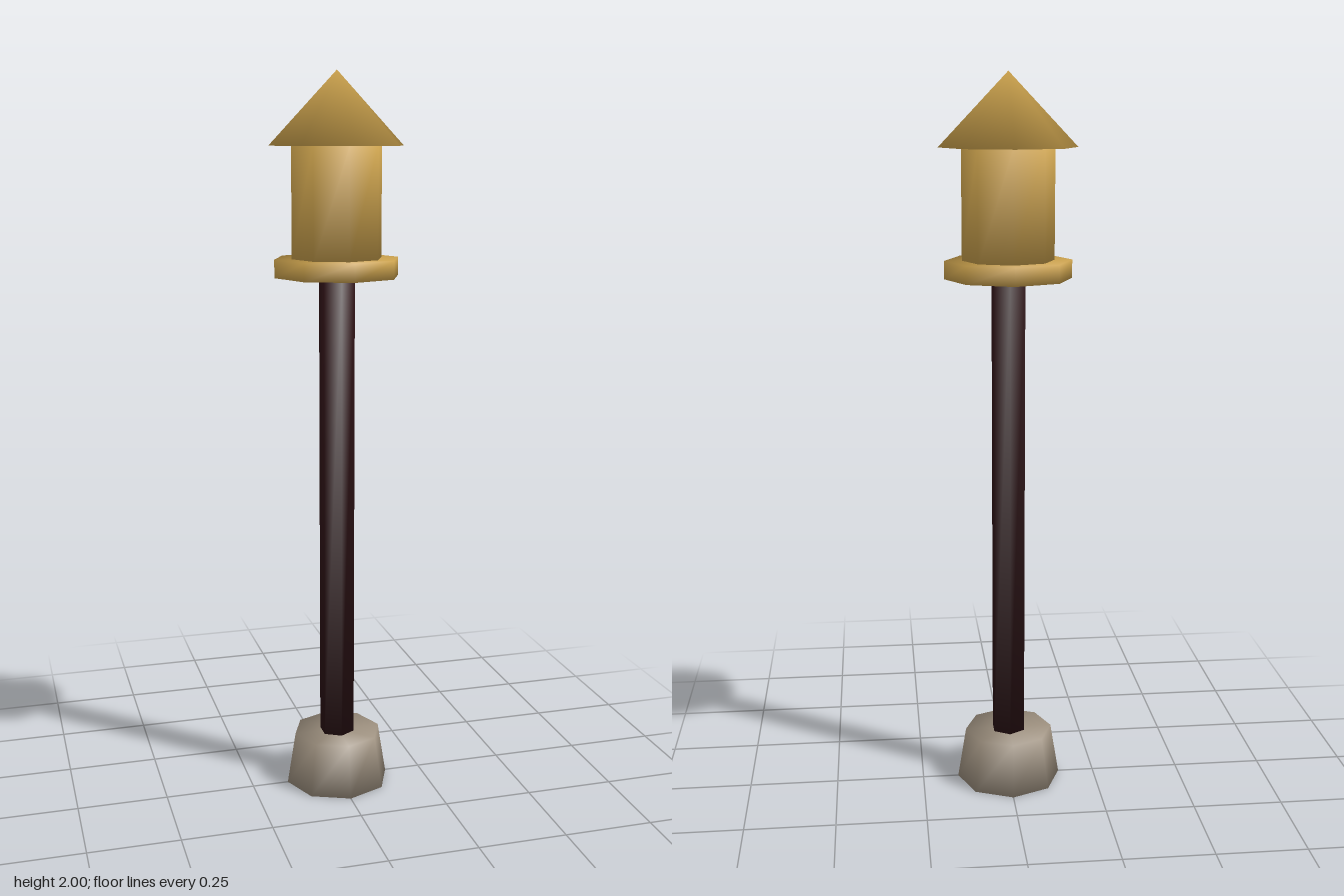
import * as THREE from 'three';
import { mergeVertices } from 'three/addons/utils/BufferGeometryUtils.js';

// Smooth normals across all edges, weighted by corner angle
function soften(geometry) {
  geometry.deleteAttribute('uv');
  geometry.deleteAttribute('normal');
  const geo = mergeVertices(geometry, 1e-4);
  const pos = geo.attributes.position;
  const sums = Array.from({ length: pos.count }, () => new THREE.Vector3());
  const index = geo.index.array;
  for (let i = 0; i < index.length; i += 3) {
    const ids = [index[i], index[i + 1], index[i + 2]];
    const p = ids.map((id) => new THREE.Vector3().fromBufferAttribute(pos, id));
    const face = new THREE.Triangle(...p).getNormal(new THREE.Vector3());
    for (let k = 0; k < 3; k++) {
      const a = p[(k + 1) % 3].clone().sub(p[k]);
      const b = p[(k + 2) % 3].clone().sub(p[k]);
      sums[ids[k]].addScaledVector(face, a.angleTo(b));
    }
  }
  const normals = sums.flatMap((n) => n.normalize().toArray());
  geo.setAttribute('normal', new THREE.Float32BufferAttribute(normals, 3));
  return geo;
}

export function createModel() {
  const model = new THREE.Group();
  model.name = 'lanternPost';

  const material = (name, color) => {
    const m = new THREE.MeshStandardMaterial({ color });
    m.name = name;
    return m;
  };
  const stone = material('stone', 0x9c8f7e);
  const wood = material('darkWood', 0x2a1013);
  const gold = material('gold', 0xc9a04c);

  // Closed prism or cone between two heights
  const addPart = (name, mat, bottomRadius, topRadius, y0, y1, sides) => {
    const geo = new THREE.CylinderGeometry(topRadius, bottomRadius, y1 - y0, sides);
    const mesh = new THREE.Mesh(soften(geo), mat);
    mesh.name = name;
    mesh.position.y = (y0 + y1) / 2;
    model.add(mesh);
  };

  addPart('base', stone, 0.148, 0.124, 0, 0.148, 8);
  addPart('post', wood, 0.05, 0.05, 0.14, 1.47, 6);
  addPart('platform', gold, 0.173, 0.173, 1.461, 1.51, 8);
  addPart('lanternBody', gold, 0.125, 0.125, 1.505, 1.81, 8);
  addPart('roof', gold, 0.186, 0, 1.806, 2, 8);

  return model;
}
